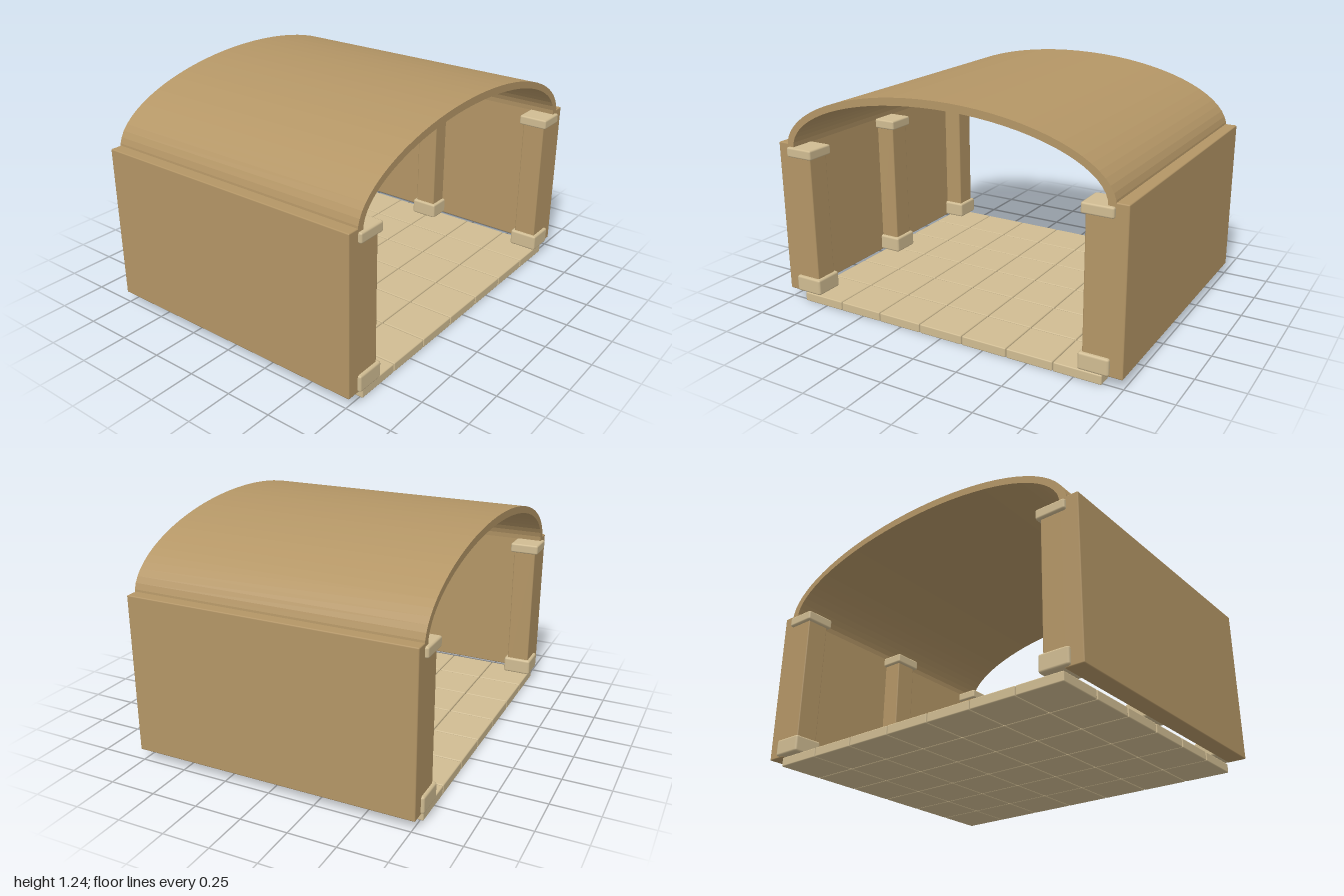
import * as THREE from 'three';
import { RoundedBoxGeometry } from 'three/addons/geometries/RoundedBoxGeometry.js';

const sand = new THREE.MeshStandardMaterial({ color: 0xb49666 });
const paleStone = new THREE.MeshStandardMaterial({ color: 0xd0bc92 });

// Softly bevelled block given by its min and max corners
function block(name, [x0, y0, z0], [x1, y1, z1], material, bevel) {
  const geometry = new RoundedBoxGeometry(x1 - x0, y1 - y0, z1 - z0, 1, bevel);
  const mesh = new THREE.Mesh(geometry, material);
  mesh.position.set((x0 + x1) / 2, (y0 + y1) / 2, (z0 + z1) / 2);
  mesh.name = name;
  return mesh;
}

// Elliptical barrel roof with a constant shell thickness
function createRoof(halfDepth) {
  const spring = 0.88, steps = 36;
  const points = [];
  const arc = (rx, ry, reverse) => {
    for (let i = 0; i <= steps; i++) {
      const a = Math.PI * (reverse ? 1 - i / steps : i / steps);
      points.push(new THREE.Vector2(rx * Math.cos(a), spring + ry * Math.sin(a)));
    }
  };
  arc(0.94, 0.355, false);
  arc(0.9, 0.315, true);
  const geometry = new THREE.ExtrudeGeometry(new THREE.Shape(points), {
    depth: 2 * halfDepth, bevelEnabled: false,
  });
  geometry.translate(0, 0, -halfDepth);
  const roof = new THREE.Mesh(geometry, sand);
  roof.name = 'archedRoof';
  return roof;
}

// Square pillar with a plinth and a capital
function createPillar(side, z) {
  const pillar = new THREE.Group();
  pillar.name = 'pillar';
  const x = side * 0.855;
  const part = (name, half, y0, y1, material, bevel) => pillar.add(
    block(name, [x - half, y0, z - half], [x + half, y1, z + half], material, bevel));
  part('shaft', 0.063, 0.07, 0.87, sand, 0.006);
  part('plinth', 0.08, 0.06, 0.15, paleStone, 0.012);
  part('capital', 0.081, 0.828, 0.882, paleStone, 0.01);
  return pillar;
}

export function createModel() {
  const model = new THREE.Group();
  model.name = 'vaultedHall';
  const halfDepth = 0.768;

  // Floor of square tiles
  const floor = new THREE.Group();
  floor.name = 'tiledFloor';
  const columns = 7, rows = 6, pitch = 0.2565, half = pitch / 2 - 0.002;
  for (let c = 0; c < columns; c++) {
    for (let r = 0; r < rows; r++) {
      const x = (c - (columns - 1) / 2) * pitch;
      const z = (r - (rows - 1) / 2) * pitch;
      floor.add(block('tile', [x - half, 0, z - half], [x + half, 0.05, z + half], paleStone, 0.006));
    }
  }
  model.add(floor);

  // Side walls and their pillars
  for (const side of [-1, 1]) {
    const inner = side * 0.9, outer = side;
    model.add(block(side > 0 ? 'leftWall' : 'rightWall',
      [Math.min(inner, outer), 0.055, -halfDepth],
      [Math.max(inner, outer), 0.9, halfDepth], sand, 0.006));
    for (const z of [-0.705, 0, 0.705]) model.add(createPillar(side, z));
  }

  model.add(createRoof(halfDepth));
  return model;
}
